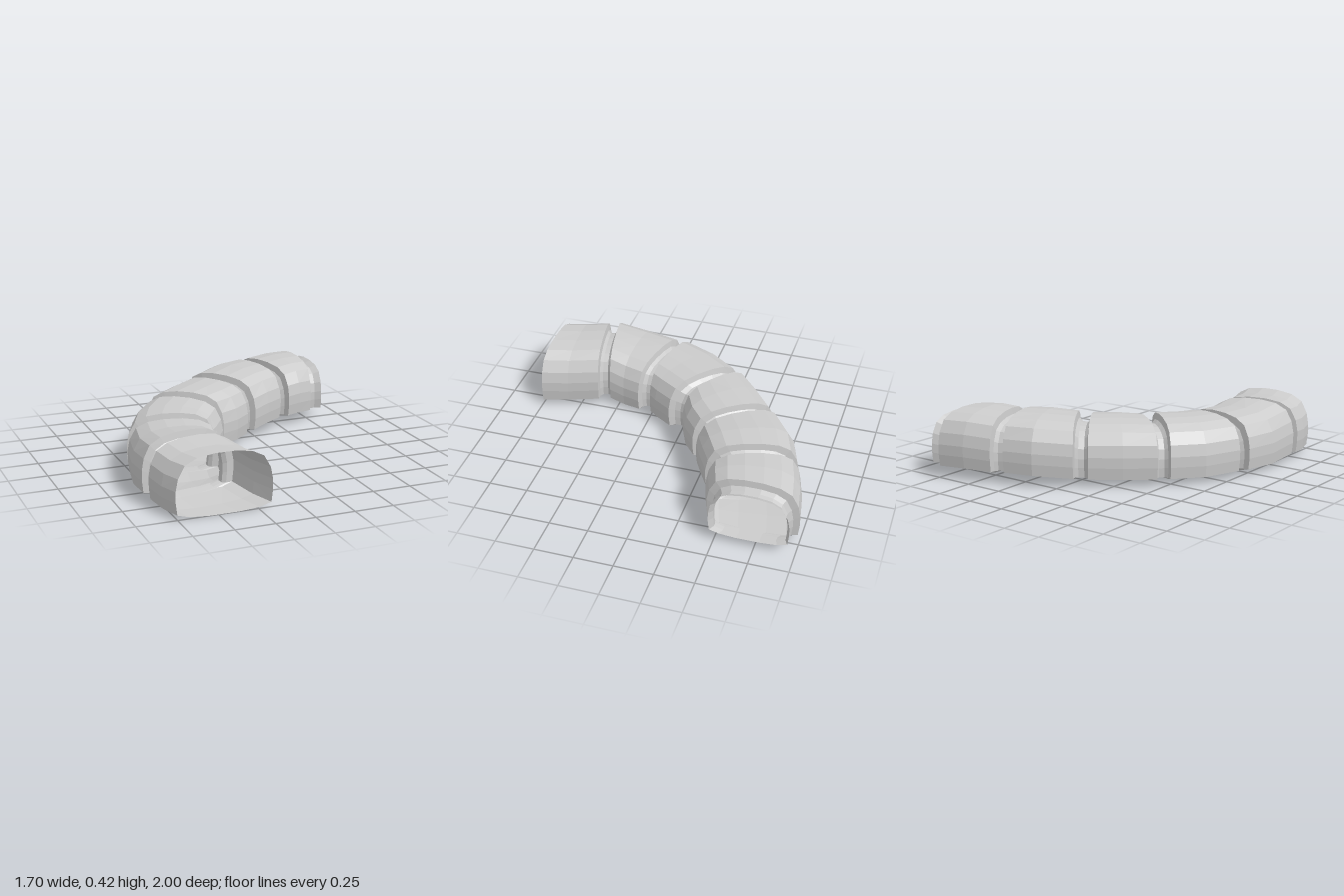
import * as THREE from 'three';

// Cross-section: u runs across (1 = outside of the bend), v runs up
const half = [[0.97, 0.08], [1, 0.28], [1, 0.46], [0.95, 0.66], [0.81, 0.86], [0.56, 0.96], [0.2, 1]];
const ARCH = [...half, ...half.slice().reverse().map(([u, v]) => [-u, v])];
const FLOOR = [[-0.97, 0.08], [-0.72, 0.025], [-0.3, 0], [0.3, 0], [0.72, 0.025], [0.97, 0.08]];

// Rings of each segment: outer x, outer z, inner x, inner z, bottom y, top y
const SEGMENTS = [
  [[-0.76, 1, -0.16, 1, 0, 0.375], [-0.80, 0.87, -0.21, 0.83, 0, 0.37], [-0.83, 0.73, -0.26, 0.63, 0.015, 0.385]],
  [[-0.845, 0.65, -0.28, 0.55, 0.025, 0.395], [-0.835, 0.42, -0.265, 0.45, 0.005, 0.37], [-0.79, 0.20, -0.235, 0.335, 0.01, 0.365]],
  [[-0.77, 0.12, -0.23, 0.25, 0.015, 0.375], [-0.67, -0.11, -0.19, 0.20, 0.01, 0.375], [-0.53, -0.29, -0.11, 0.08, 0.015, 0.38]],
  [[-0.48, -0.36, -0.06, -0.03, 0.02, 0.385], [-0.32, -0.50, 0.06, -0.08, 0.02, 0.39], [-0.15, -0.63, 0.165, -0.165, 0.025, 0.39]],
  [[-0.08, -0.69, 0.24, -0.21, 0.03, 0.40], [0.13, -0.83, 0.36, -0.27, 0.045, 0.415], [0.31, -0.89, 0.48, -0.34, 0.05, 0.415]],
  [[0.39, -0.92, 0.56, -0.37, 0.045, 0.41], [0.57, -0.97, 0.65, -0.39, 0.05, 0.42], [0.75, -1, 0.75, -0.425, 0.045, 0.415]],
];
const END = [0.85, -1, 0.85, -0.42, 0.045, 0.415];

const material = new THREE.MeshStandardMaterial({ color: 0xcccccc, flatShading: true, side: THREE.DoubleSide });

// A ring between two others, drawn inwards by a recess at the sides and top
function recessed(a, b, t, recess) {
  const r = a.map((n, i) => n + (b[i] - n) * t);
  const k = recess / Math.hypot(r[2] - r[0], r[3] - r[1]);
  return [
    r[0] + (r[2] - r[0]) * k, r[1] + (r[3] - r[1]) * k,
    r[2] - (r[2] - r[0]) * k, r[3] - (r[3] - r[1]) * k,
    r[4], r[5] - recess,
  ];
}

// Skins a profile along a list of rings
function loft(name, rings, profile) {
  const positions = [], index = [], n = profile.length;
  rings.forEach(([xo, zo, xi, zi, bottom, top], j) => {
    profile.forEach(([u, v], i) => {
      const s = (1 - u) / 2;
      positions.push(xo + (xi - xo) * s, bottom + (top - bottom) * v, zo + (zi - zo) * s);
      if (j > 0 && i > 0) {
        const d = j * n + i, c = d - 1, b = d - n, a = b - 1;
        index.push(a, b, c, b, d, c);
      }
    });
  });
  const geometry = new THREE.BufferGeometry();
  geometry.setAttribute('position', new THREE.Float32BufferAttribute(positions, 3));
  geometry.setIndex(index);
  geometry.computeVertexNormals();
  const mesh = new THREE.Mesh(geometry, material);
  mesh.name = name;
  return mesh;
}

export function createModel() {
  const group = new THREE.Group();
  group.name = 'curvedTunnel';
  const floorRings = [];

  SEGMENTS.forEach((segment, i) => {
    // Arched shell of the segment
    group.add(loft(`segment${i + 1}`, segment, ARCH));

    // Rounded groove leading to the next segment; the last one stays open
    const a = segment[segment.length - 1];
    const last = i === SEGMENTS.length - 1;
    const b = last ? END : SEGMENTS[i + 1][0];
    const groove = [a, recessed(a, b, 0.08, 0.04), recessed(a, b, 0.3, 0.06)];
    if (last) groove.push(recessed(a, b, 0.6, 0.062), recessed(a, b, 1, 0.042));
    else groove.push(recessed(a, b, 0.7, 0.06), recessed(a, b, 0.92, 0.04), b);
    group.add(loft(`groove${i + 1}`, groove, ARCH));

    floorRings.push(...segment, ...groove.slice(1, last ? undefined : -1));
  });

  // Continuous shallow floor, notched at the grooves
  group.add(loft('floor', floorRings, FLOOR));
  return group;
}
